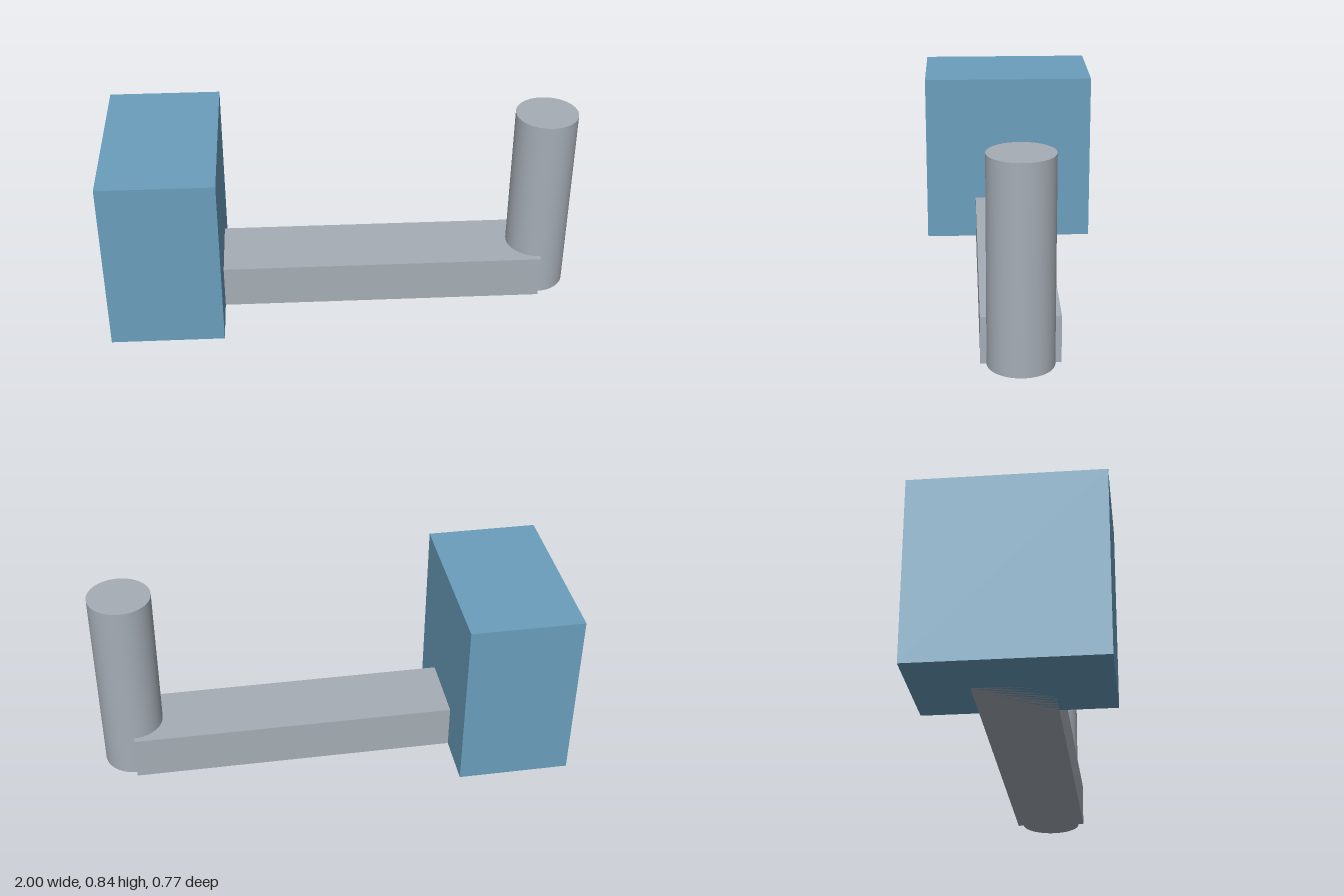
import * as THREE from 'three';

const material = (name, color) => {
  const m = new THREE.MeshStandardMaterial({ color });
  m.name = name;
  return m;
};

export function createModel() {
  const blue = material('blue', 0x6a9ebc);
  const grey = material('grey', 0xa5adb5);
  const model = new THREE.Group();
  model.name = 'crank';

  // Every part stands on the ground plane
  const add = (name, geometry, mat, x, height) => {
    const mesh = new THREE.Mesh(geometry, mat);
    mesh.name = name;
    mesh.position.set(x, height / 2, 0);
    model.add(mesh);
  };

  const blockX = -0.76;
  const postX = 0.868;

  // Block at one end
  add('block', new THREE.BoxGeometry(0.48, 0.772, 0.772), blue, blockX, 0.772);

  // Arm running from the block's centre to the post's axis
  add('arm', new THREE.BoxGeometry(postX - blockX, 0.193, 0.312), grey, (postX + blockX) / 2, 0.193);

  // Upright round post
  add('post', new THREE.CylinderGeometry(0.132, 0.132, 0.844, 64), grey, postX, 0.844);

  return model;
}
